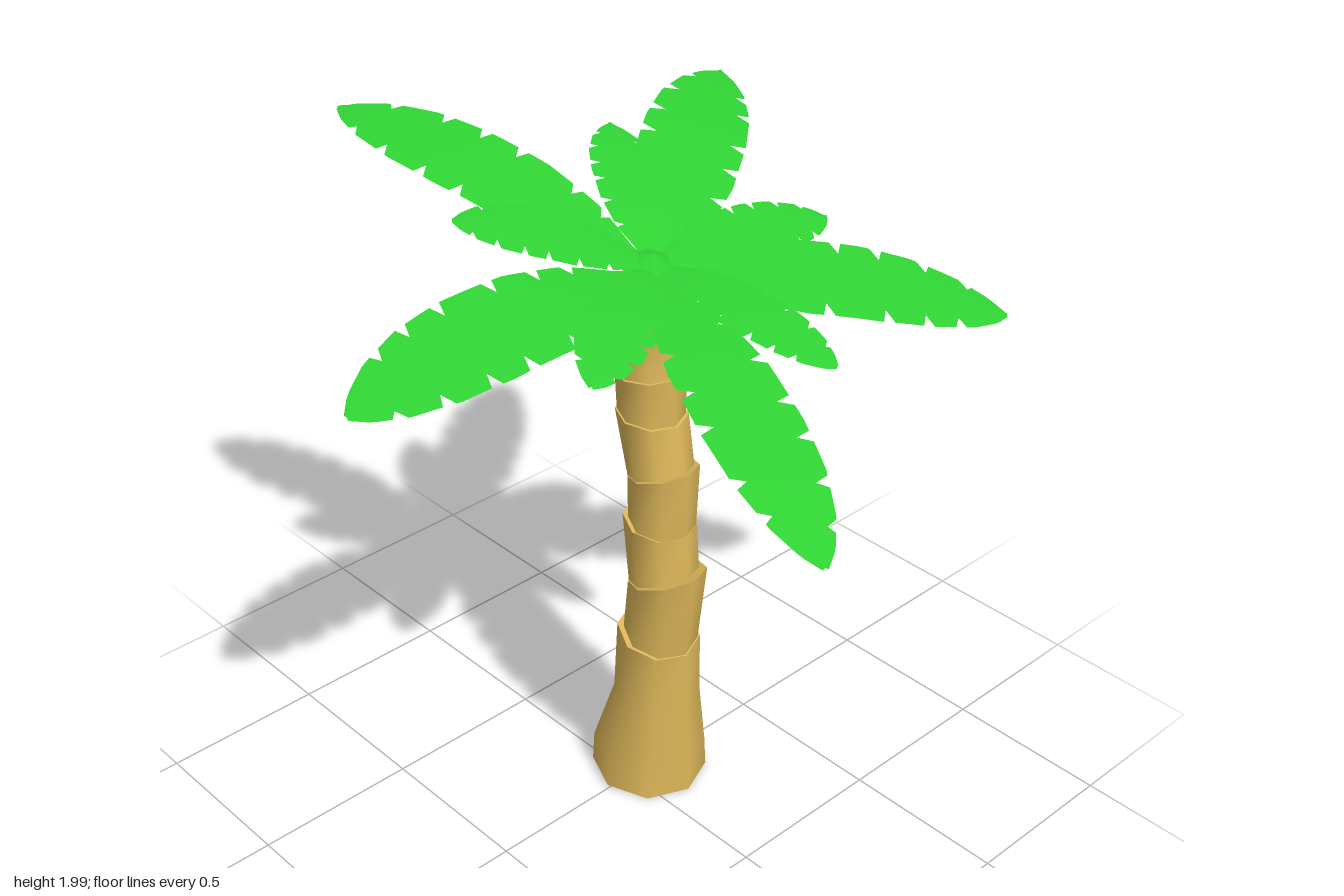
import * as THREE from 'three';
import { toCreasedNormals } from 'three/addons/utils/BufferGeometryUtils.js';

const CZ = -0.085; // depth of the trunk axis
const TILT = 0.34; // sideways slope of the crown
const SIDES = 8;

// Loft through tilted rings [leftX, leftY, rightX, rightY, halfDepth], closed at both ends
function trunkGeometry(rings) {
  const flat = ([xl, yl, xr, yr]) => [(xl + xr) / 2, (yl + yr) / 2, (xl + xr) / 2, (yl + yr) / 2, 0];
  const all = [flat(rings[0]), ...rings, flat(rings[rings.length - 1])];
  const pos = [], idx = [];
  for (const [xl, yl, xr, yr, rz] of all) {
    for (let i = 0; i < SIDES; i++) {
      const a = (i / SIDES) * Math.PI * 2, c = Math.cos(a);
      pos.push((xl + xr) / 2 + (c * (xr - xl)) / 2, (yl + yr) / 2 + (c * (yr - yl)) / 2, CZ + Math.sin(a) * rz);
    }
  }
  for (let r = 0; r < all.length - 1; r++) {
    for (let i = 0; i < SIDES; i++) {
      const a = r * SIDES + i, b = r * SIDES + ((i + 1) % SIDES);
      idx.push(a, a + SIDES, b, b, a + SIDES, b + SIDES);
    }
  }
  const g = new THREE.BufferGeometry();
  g.setAttribute('position', new THREE.Float32BufferAttribute(pos, 3));
  g.setIndex(idx);
  return toCreasedNormals(g, 0.9);
}

// Half width along a frond, as [position, fraction of the widest]
const OUTLINE = [[0, 0.2], [0.1, 0.38], [0.22, 0.75], [0.4, 0.98], [0.6, 1], [0.75, 0.9], [0.88, 0.64], [0.96, 0.33], [1, 0.06]];
function outline(t) {
  const k = Math.max(1, OUTLINE.findIndex((p) => p[0] >= t));
  const [t0, w0] = OUTLINE[k - 1], [t1, w1] = OUTLINE[k];
  return w0 + ((w1 - w0) * (t - t0)) / (t1 - t0);
}

// Arched frond with small slits along both edges
function frondGeometry(base, tip, halfWidth, arch, seed) {
  const ctrl = base.clone().lerp(tip, 0.5);
  ctrl.y += arch;
  const curve = new THREE.QuadraticBezierCurve3(base, ctrl, tip);
  const dir = tip.clone().sub(base).setY(0).normalize();
  const side = new THREE.Vector3(-dir.z, 0, dir.x);
  side.y = -TILT * side.x;
  const slits = [
    [14, 22, 30, 39, 46, 52].map((n, i) => n + ((seed * 3 + i) % 3)),
    [11, 18, 27, 35, 43, 50].map((n, i) => n + ((seed * 2 + i * 2) % 3)),
  ];
  const ROWS = 60, pos = [], idx = [];
  for (let r = 0; r <= ROWS; r++) {
    const p = curve.getPoint(r / ROWS);
    const w = halfWidth * outline(r / ROWS);
    [-1, 0, 1].forEach((s) => {
      const cut = s !== 0 && slits[s < 0 ? 0 : 1].includes(r) ? 0.7 : 1;
      const q = p.clone().addScaledVector(side, s * w * cut);
      pos.push(q.x, q.y - (s ? 0.006 * cut : 0), q.z);
    });
    if (r < ROWS) {
      for (let j = 0; j < 2; j++) {
        const a = r * 3 + j;
        idx.push(a, a + 1, a + 3, a + 1, a + 4, a + 3);
      }
    }
  }
  const g = new THREE.BufferGeometry();
  g.setAttribute('position', new THREE.Float32BufferAttribute(pos, 3));
  g.setIndex(idx);
  g.computeVertexNormals();
  return g;
}

export function createModel() {
  const model = new THREE.Group();
  model.name = 'palmTree';
  const bark = new THREE.MeshStandardMaterial({ color: 0xdcb659 });
  const green = new THREE.MeshStandardMaterial({ color: 0x2fd033, side: THREE.DoubleSide });

  // Trunk: stacked segments, each flaring to a lip under the next
  const segments = [
    [[-0.18, 0.015, 0.17, 0, 0.175], [-0.177, 0.11, 0.167, 0.1, 0.168], [-0.1, 0.33, 0.153, 0.32, 0.13], [-0.085, 0.57, 0.15, 0.505, 0.127]],
    [[-0.068, 0.53, 0.143, 0.48, 0.113], [-0.045, 0.72, 0.178, 0.79, 0.117]],
    [[-0.044, 0.7, 0.15, 0.76, 0.105], [-0.072, 0.955, 0.137, 0.915, 0.108]],
    [[-0.052, 0.92, 0.135, 0.9, 0.1], [-0.053, 1.075, 0.145, 1.13, 0.104]],
    [[-0.053, 1.06, 0.128, 1.11, 0.096], [-0.107, 1.285, 0.1, 1.265, 0.102]],
    [[-0.1, 1.26, 0.09, 1.25, 0.095], [-0.107, 1.4, 0.09, 1.41, 0.101]],
    [[-0.106, 1.38, 0.084, 1.39, 0.094], [-0.1, 1.53, 0.063, 1.52, 0.086], [-0.11, 1.66, 0.088, 1.62, 0.088], [-0.095, 1.7, 0.08, 1.655, 0.075]],
  ];
  const trunk = new THREE.Group();
  trunk.name = 'trunk';
  segments.forEach((rings, i) => {
    const m = new THREE.Mesh(trunkGeometry(rings), bark);
    m.name = 'trunkSegment' + (i + 1);
    trunk.add(m);
  });
  model.add(trunk);

  // Crown: five long fronds below, five short ones above
  const crown = new THREE.Group();
  crown.name = 'crown';
  const addFronds = (name, tips, baseY, halfWidth, arch) => tips.forEach(([x, y, z], i) => {
    const base = new THREE.Vector3(0, baseY, CZ);
    const m = new THREE.Mesh(frondGeometry(base, new THREE.Vector3(x, y, z), halfWidth, arch, i), green);
    m.name = name + (i + 1);
    crown.add(m);
  });
  addFronds('longFrond', [[0.91, 1.36, 0.21], [0, 1.67, 0.92], [-0.91, 1.99, 0.25], [-0.57, 1.885, -0.9], [0.545, 1.49, -0.92]], 1.69, 0.145, 0.11);
  addFronds('shortFrond', [[0.1, 1.72, -0.65], [0.54, 1.59, -0.22], [0.28, 1.66, 0.39], [-0.32, 1.88, 0.33], [-0.45, 1.915, -0.34]], 1.725, 0.098, 0.05);

  // Bud covering the frond bases
  const bud = new THREE.Mesh(new THREE.ConeGeometry(0.075, 0.035, 6), green);
  bud.name = 'bud';
  bud.position.set(0, 1.74, CZ);
  bud.rotation.z = -0.33;
  crown.add(bud);
  model.add(crown);
  return model;
}
